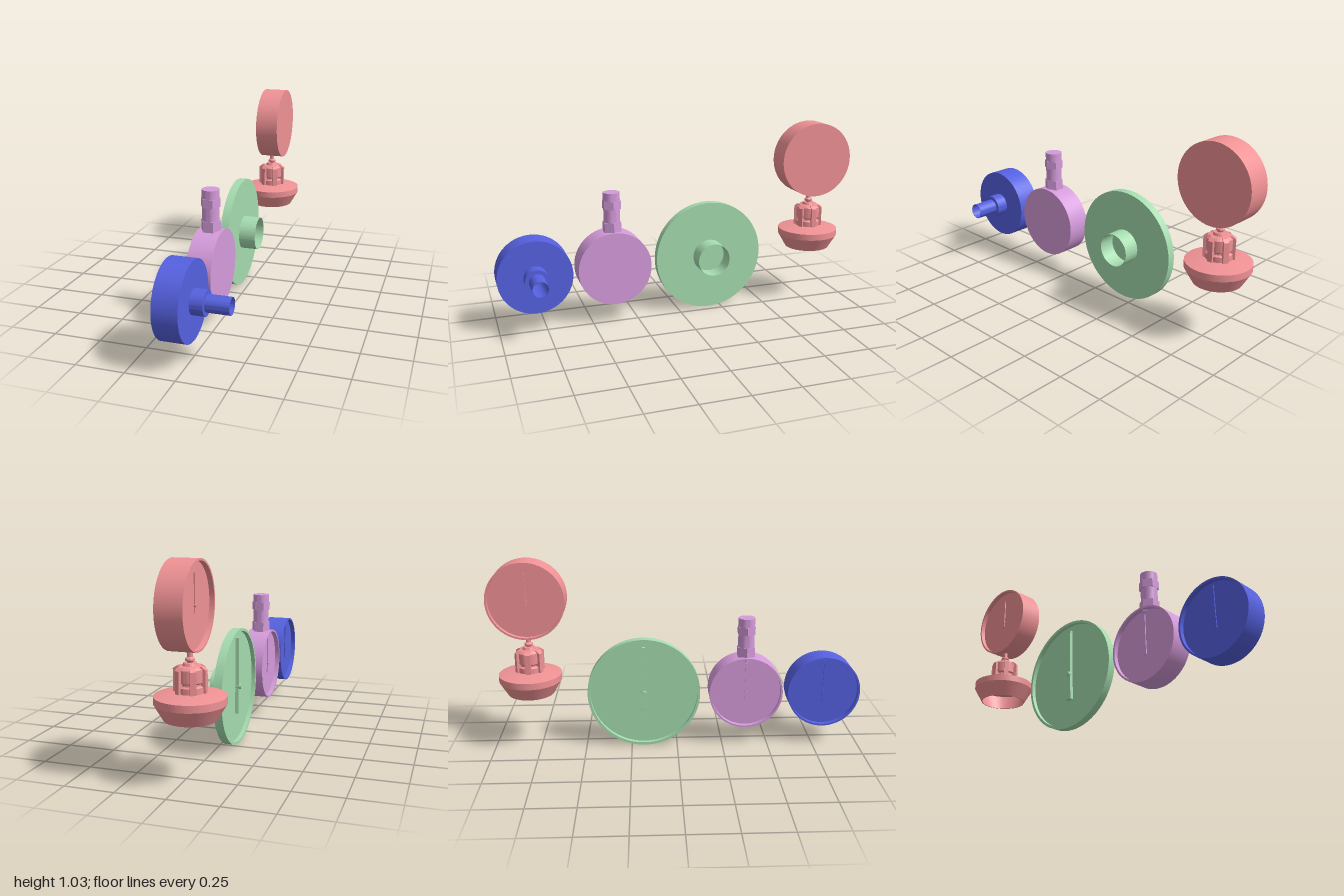
import * as THREE from 'three';
import { toCreasedNormals } from 'three/addons/utils/BufferGeometryUtils.js';

const paint = (color) => new THREE.MeshStandardMaterial({ color, side: THREE.DoubleSide });

function addMesh(parent, name, geometry, material, x = 0, y = 0, z = 0) {
  const mesh = new THREE.Mesh(geometry, material);
  mesh.name = name;
  mesh.position.set(x, y, z);
  parent.add(mesh);
  return mesh;
}

// Turned part with crisp edges; profile is [radius, height] pairs
function turned(profile, segments = 64) {
  const points = profile.map(([r, h]) => new THREE.Vector2(r, h));
  return toCreasedNormals(new THREE.LatheGeometry(points, segments), 0.5);
}

// Round case with a recessed dial facing -x; stem is the profile behind the back
function addCase(parent, { r, back, front, recess, rim, stem = [] }, material) {
  const dial = -front - recess;
  const profile = [
    [0, -back], ...stem, [r, -back], [r, -front],
    [r - rim, -front], [r - rim, dial], [0, dial],
  ];
  const body = addMesh(parent, 'gaugeCase', turned(profile, 96), material);
  body.rotation.z = Math.PI / 2;
}

// Tapered pointer with a rounded hub, lying on the dial
function addNeedle(parent, { x, up, down, width, hub, thick }, material) {
  const s = new THREE.Shape();
  s.moveTo(-width * 0.3, up);
  s.lineTo(width * 0.3, up);
  s.lineTo(width * 0.5, 0);
  s.lineTo(width * 0.75, -down);
  s.lineTo(-width * 0.75, -down);
  s.lineTo(-width * 0.5, 0);
  const geometry = new THREE.ExtrudeGeometry(s, { depth: thick, bevelEnabled: false });
  geometry.rotateY(-Math.PI / 2);
  addMesh(parent, 'needle', geometry, material, x);
  const pin = new THREE.CylinderGeometry(hub, hub, thick * 1.6, 24).rotateZ(Math.PI / 2);
  addMesh(parent, 'needleHub', pin, material, x - thick * 0.8);
}

function gauge(name, color, y, z) {
  const group = new THREE.Group();
  group.name = name;
  group.position.set(0, y, z);
  return { group, material: paint(color) };
}

// Case with a stepped hollow stem at the back
function rearStemGauge() {
  const { group, material } = gauge('rearStemGauge', 0x5561e0, 0.307, 0.802);
  const stem = [
    [0.04, -0.02], [0.04, -0.205], [0.043, -0.205],
    [0.043, -0.086], [0.063, -0.086], [0.063, -0.02],
  ];
  addCase(group, { r: 0.198, back: 0.02, front: -0.108, recess: 0.025, rim: 0.01, stem }, material);
  addNeedle(group, { x: -0.083, up: 0.175, down: 0.055, width: 0.011, hub: 0.008, thick: 0.006 }, material);
  return group;
}

// Case with a hexagonal fitting on top
function topFittingGauge() {
  const { group, material } = gauge('topFittingGauge', 0xd59bdb, 0.307, 0.375);
  addCase(group, { r: 0.2, back: 0.02, front: -0.108, recess: 0.025, rim: 0.01 }, material);
  addNeedle(group, { x: -0.083, up: 0.165, down: 0.055, width: 0.011, hub: 0.008, thick: 0.006 }, material);
  const fitting = [
    ['lowerNut', 0.052, 0.18, 0.25, 6], ['fittingNeck', 0.044, 0.25, 0.322, 32],
    ['upperNut', 0.052, 0.322, 0.366, 6], ['fittingTop', 0.045, 0.366, 0.411, 32],
  ];
  for (const [name, r, y0, y1, sides] of fitting) {
    const geometry = toCreasedNormals(new THREE.CylinderGeometry(r, r, y1 - y0, sides), 0.5);
    geometry.rotateY(Math.PI / 2); // nut corners point along x
    addMesh(group, name, geometry, material, -0.044, (y0 + y1) / 2);
  }
  return group;
}

// Large thin dial with a wide open tube behind
function wideDialGauge() {
  const { group, material } = gauge('wideDialGauge', 0xa5dcaf, 0.307, -0.18);
  const stem = [[0.089, 0.042], [0.089, -0.05], [0.092, -0.05], [0.092, 0.042]];
  addCase(group, { r: 0.306, back: -0.042, front: -0.086, recess: 0.022, rim: 0.014, stem }, material);
  addNeedle(group, { x: -0.064, up: 0.26, down: 0.145, width: 0.025, hub: 0.014, thick: 0.019 }, material);
  return group;
}

// Gauge on a post above a lugged collar and flared hollow base
function pedestalGauge() {
  const { group, material } = gauge('pedestalGauge', 0xf09295, 0, -0.792);
  const head = new THREE.Group();
  head.name = 'gaugeHead';
  head.position.y = 0.829;
  group.add(head);
  addCase(head, { r: 0.207, back: 0.04, front: -0.09, recess: 0.025, rim: 0.01 }, material);
  addNeedle(head, { x: -0.065, up: 0.145, down: 0.035, width: 0.011, hub: 0.008, thick: 0.006 }, material);

  const stand = new THREE.Group();
  stand.name = 'stand';
  stand.position.x = -0.042;
  group.add(stand);
  addMesh(stand, 'flaredBase', turned([
    [0, 0.415], [0.145, 0.395], [0.12, 0.31], [0.125, 0.31], [0.168, 0.385],
    [0.168, 0.42], [0.08, 0.437], [0, 0.437],
  ]), material);
  addMesh(stand, 'collar', turned([
    [0.068, 0.43], [0.068, 0.465], [0.058, 0.472], [0.058, 0.48], [0.065, 0.487],
    [0.065, 0.545], [0.05, 0.557], [0.035, 0.559], [0.03, 0.572], [0, 0.572],
  ]), material);
  addMesh(stand, 'post', turned([
    [0.014, 0.56], [0.014, 0.575], [0.022, 0.582], [0.022, 0.59], [0.013, 0.598], [0.013, 0.64],
  ], 32), material);

  // Lugs around the collar, chamfered at the top
  const outline = new THREE.Shape();
  outline.moveTo(0.04, 0.432);
  outline.lineTo(0.078, 0.432);
  outline.lineTo(0.078, 0.543);
  outline.lineTo(0.058, 0.557);
  outline.lineTo(0.04, 0.557);
  const lug = new THREE.ExtrudeGeometry(outline, { depth: 0.028, bevelEnabled: false });
  lug.translate(0, 0, -0.014);
  for (let i = 0; i < 6; i++) {
    addMesh(stand, 'collarLug', lug, material).rotation.y = (i * Math.PI) / 3;
  }
  return group;
}

export function createModel() {
  const model = new THREE.Group();
  model.name = 'pressureGauges';
  model.add(rearStemGauge(), topFittingGauge(), wideDialGauge(), pedestalGauge());
  return model;
}
